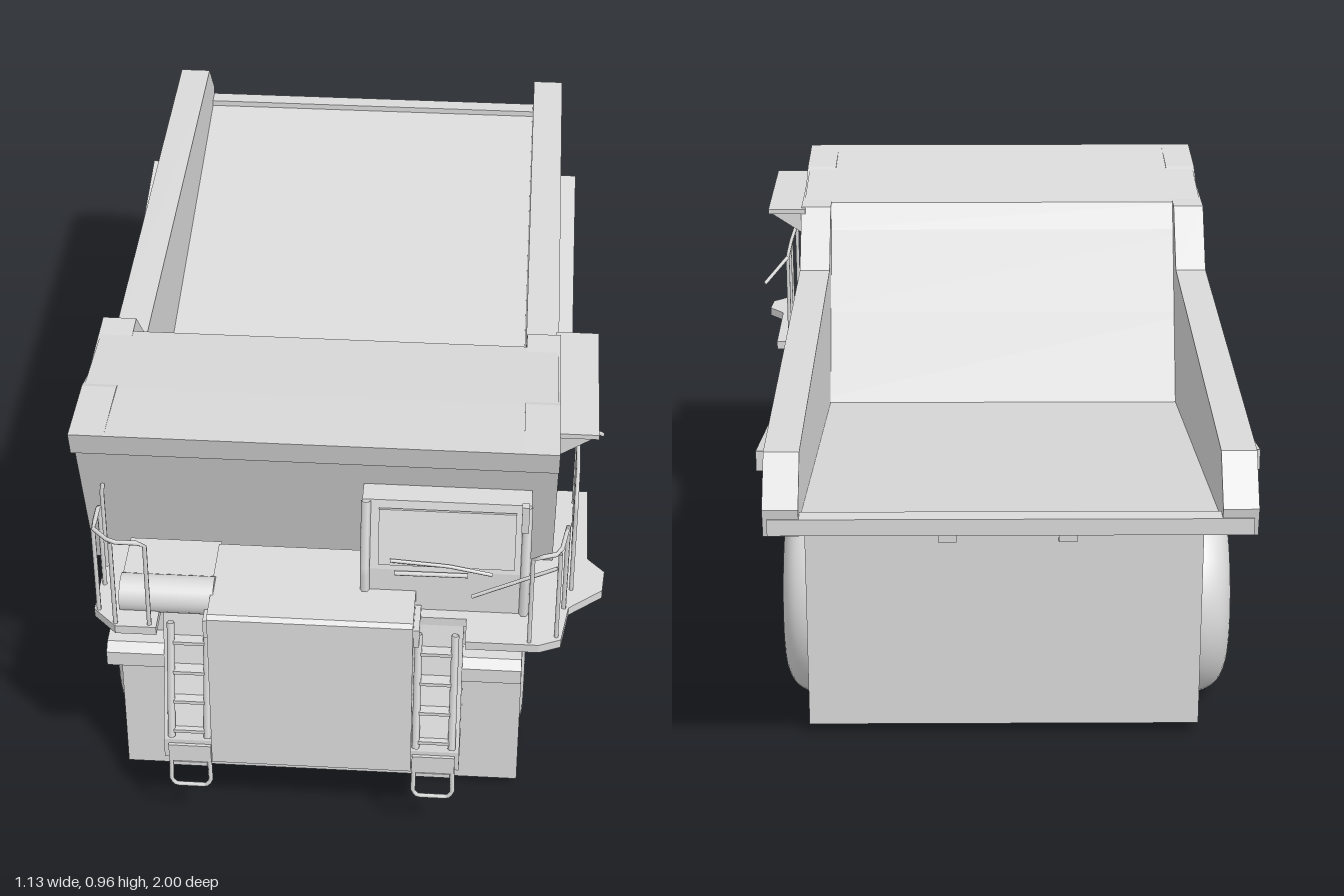
import * as THREE from 'three';

const CX = -0.037; // centre line of truck body

export function createModel() {
  const truck = new THREE.Group();
  truck.name = 'miningDumpTruck';
  const grey = new THREE.MeshStandardMaterial({ color: 0xdadada });
  grey.name = 'lightGrey';
  grey.side = THREE.DoubleSide;

  const add = (name, geo) => {
    const m = new THREE.Mesh(geo, grey);
    m.name = name;
    truck.add(m);
    return m;
  };
  // box given by its limits
  const box = (name, x0, x1, y0, y1, z0, z1) => {
    const g = new THREE.BoxGeometry(x1 - x0, y1 - y0, z1 - z0);
    g.translate((x0 + x1) / 2, (y0 + y1) / 2, (z0 + z1) / 2);
    return add(name, g);
  };
  const shapeOf = (pts) => new THREE.Shape(pts.map((p) => new THREE.Vector2(...p)));
  // side outline of [z, y] points carried between two x values
  const profile = (name, pts, xa, xb) => {
    const g = new THREE.ExtrudeGeometry(shapeOf(pts), { depth: Math.abs(xb - xa), bevelEnabled: false });
    g.rotateY(-Math.PI / 2);
    g.translate(Math.max(xa, xb), 0, 0);
    return add(name, g);
  };
  // thin bar through points, made of straight segments
  const bar = (name, pts, r = 0.005) => {
    const path = new THREE.CurvePath();
    const v = pts.map((p) => new THREE.Vector3(...p));
    for (let i = 1; i < v.length; i++) path.add(new THREE.LineCurve3(v[i - 1], v[i]));
    return add(name, new THREE.TubeGeometry(path, (v.length - 1) * 6, r, 6));
  };

  // axle blocks and chassis
  box('frontAxleBlock', -0.46, 0.40, 0.03, 0.5, 0.33, 0.82);
  box('rearAxleBlock', -0.46, 0.40, 0.03, 0.49, -0.6, -0.11);
  box('chassis', -0.45, 0.39, 0.17, 0.47, -0.12, 0.34);
  box('bellyPlate', -0.16, 0.09, 0.16, 0.18, 0, 0.12);

  // wheels
  const wheel = (name, side, z, inner, w, dual) => {
    const pts = [[0.17, 0], [0.22, 0.02], [0.24, 0.05]];
    if (dual) pts.push([0.243, w * 0.3], [0.235, w * 0.42], [0.215, w * 0.46], [0.235, w * 0.5]);
    pts.push([0.244, w - 0.09], [0.238, w - 0.05], [0.218, w - 0.018], [0.18, w], [0.145, w - 0.003], [0.1, w - 0.03]);
    const smooth = new THREE.SplineCurve(pts.map((p) => new THREE.Vector2(...p))).getPoints(48);
    const hub = [[0.1, w - 0.03], [0.09, w - 0.012], [0.08, w - 0.012], [0.074, w - 0.04], [0.055, w - 0.035],
      [0.055, w - 0.015], [0.045, w - 0.01], [0.04, w - 0.02], [0, w - 0.02]];
    const parts = { Tyre: [new THREE.Vector2(0, 0), ...smooth], Hub: hub.map((p) => new THREE.Vector2(...p)) };
    for (const [part, points] of Object.entries(parts)) {
      const g = new THREE.LatheGeometry(points, 48);
      g.rotateZ(-side * Math.PI / 2);
      add(name + part, g).position.set(CX + side * inner, 0.249, z);
    }
  };
  for (const s of [-1, 1]) {
    wheel('rearWheel', s, -0.345, 0.198, 0.295, true);
    wheel('frontWheel', s, 0.575, 0.198, 0.245, false);
  }

  // dump body: floor, front wall and canopy in one section
  profile('dumpBodyFloorAndCanopy', [
    [0.86, 0.965], [0.845, 0.908], [0.81, 0.905], [0.68, 0.5], [0.36, 0.5], [0.21, 0.455], [-0.985, 0.65],
    [-0.985, 0.68], [0.19, 0.495], [0.30, 0.69], [0.40, 0.87], [0.44, 0.928], [0.68, 0.952],
  ], -0.525, 0.45);
  const wallOutline = [
    [0.86, 0.965], [0.845, 0.908], [0.81, 0.905], [0.68, 0.5], [0.36, 0.5], [0.21, 0.455], [-0.99, 0.65],
    [-1, 0.71], [-0.92, 0.803], [0.28, 0.803], [0.395, 0.93], [0.60, 0.93], [0.68, 0.955],
  ];
  for (const s of [-1, 1]) {
    const outer = CX + s * 0.492;
    profile('dumpBodySideWall', wallOutline, outer, outer - s * 0.072);
    // sloping guard rail over the rear wheels
    profile('sideGuard', [[-0.03, 0.57], [-0.045, 0.52], [-0.64, 0.65], [-0.64, 0.695]], outer - s * 0.002, outer + s * 0.04);
    // lower edge pads
    for (const z of [0.1, -0.02, -0.13, -0.27, -0.4, -0.53]) {
      const pad = box('lowerEdgePad', -0.02, 0.02, -0.012, 0.012, -0.026, 0.026);
      pad.position.set(outer - s * 0.03, 0.451 + (0.21 - z) * 0.1625, z);
      pad.rotation.x = 0.16;
    }
    // rock deflector behind the front wheel
    profile('rockDeflector', [[0.36, 0.505], [0.275, 0.345], [0.29, 0.42], [0.325, 0.505]], CX + s * 0.38, CX + s * 0.432);
    // body hinge arms
    const hx = CX + s * 0.13;
    for (const z of [-0.47, -0.59]) box('hingeLug', hx - 0.02, hx + 0.02, 0.47, 0.59, z - 0.018, z + 0.018);
    profile('bodyRail', [[0.2, 0.45], [0.2, 0.47], [-0.85, 0.64], [-0.85, 0.615]], hx - 0.015, hx + 0.015);
    const px = CX + s * 0.427;
    box('chassisPad', px - 0.008, px + 0.008, 0.23, 0.272, 0.04, 0.13);
    box('chassisPadRear', px - 0.006, px + 0.006, 0.23, 0.272, -0.035, 0.02);
  }
  profile('tailLip', [[-0.96, 0.64], [-1, 0.655], [-1, 0.69], [-0.96, 0.69]], -0.52, 0.446);
  for (const z of [-0.65, -0.75, -0.85]) {
    const y = 0.455 + (0.21 - z) * 0.1625;
    box('underBodyRib', CX - 0.3, CX + 0.3, y - 0.008, y + 0.01, z - 0.008, z + 0.008);
  }

  // canopy side shelf with end gussets
  box('canopyShelf', 0.445, 0.535, 0.917, 0.928, 0.38, 0.74);
  const gusset = new THREE.ExtrudeGeometry(shapeOf([[0.45, 0.865], [0.53, 0.918], [0.45, 0.918]]), { depth: 0.008, bevelEnabled: false });
  for (const z of [0.385, 0.725]) add('canopyShelfGusset', gusset).position.z = z;

  // nose, hood and fenders
  profile('noseBase', [[0.8, 0.21], [0.985, 0.21], [0.985, 0.26], [0.93, 0.4], [0.9, 0.54], [0.7, 0.54]], -0.35, 0.275);
  profile('hood', [[0.75, 0.21], [0.995, 0.21], [0.985, 0.6], [0.975, 0.607], [0.75, 0.607]], -0.248, 0.174);
  for (const s of [-1, 1]) {
    const f0 = CX + s * 0.31, f1 = CX + s * 0.435;
    profile('fenderTop', [[0.78, 0.41], [0.92, 0.405], [0.92, 0.44], [0.9, 0.455], [0.78, 0.455]], f0, f1);
    profile('fenderBack', [[0.68, 0.45], [0.86, 0.45], [0.86, 0.545], [0.68, 0.545]], f0, f1);
    const kx = CX + s * 0.213;
    box('hoodSideClamp', kx - 0.01, kx + 0.01, 0.53, 0.575, 0.88, 0.96);
  }

  // deck plate, notched around the ladders
  const deck = new THREE.ExtrudeGeometry(shapeOf([
    [-0.49, -0.46], [-0.49, -0.92], [-0.44, -0.97], [-0.355, -0.97], [-0.355, -0.9], [0.28, -0.9], [0.28, -0.97],
    [0.43, -0.97], [0.475, -0.95], [0.49, -0.85], [0.56, -0.79], [0.565, -0.73], [0.53, -0.69], [0.53, -0.46],
  ]), { depth: 0.02, bevelEnabled: false });
  deck.rotateX(-Math.PI / 2);
  add('deck', deck).position.y = 0.54;

  // cab with window plates and wipers
  profile('cab', [[0.7, 0.555], [0.875, 0.555], [0.87, 0.66], [0.83, 0.81], [0.72, 0.81]], 0.06, 0.405);
  profile('windscreen', [[0.87, 0.675], [0.875, 0.675], [0.843, 0.795], [0.838, 0.795]], 0.095, 0.375);
  for (const x of [0.068, 0.397]) bar('cabPillar', [[x, 0.56, 0.875], [x, 0.665, 0.872], [x, 0.808, 0.832]], 0.01);
  bar('wiper', [[0.12, 0.69, 0.878], [0.24, 0.683, 0.88], [0.33, 0.665, 0.88]], 0.004);
  bar('wiperArm', [[0.13, 0.657, 0.878], [0.28, 0.66, 0.88]], 0.005);
  box('mirror', 0.385, 0.4, 0.775, 0.84, 0.86, 0.875);

  // air cleaner
  const canister = new THREE.CylinderGeometry(0.04, 0.04, 0.195, 24);
  canister.rotateZ(Math.PI / 2);
  add('airCleaner', canister).position.set(-0.34, 0.58, 0.885);
  box('airCleanerBase', -0.437, -0.243, 0.555, 0.605, 0.74, 0.885);

  // ladders with folding bottom steps
  for (const s of [-1, 1]) {
    const c = CX + s * 0.258;
    const zAt = (y) => 0.99 - (y - 0.25) * 0.26;
    for (const e of [-0.038, 0.038]) {
      bar('ladderRail', [[c + e, 0.27, zAt(0.27)], [c + e, 0.53, zAt(0.53)]], 0.008);
    }
    for (let i = 0; i < 4; i++) {
      const y = 0.285 + i * 0.067;
      box('ladderRung', c - 0.038, c + 0.038, y - 0.004, y + 0.004, zAt(y) - 0.025, zAt(y) + 0.005);
    }
    box('stepHolder', c - 0.045, c + 0.045, 0.205, 0.25, 0.96, 0.992);
    bar('bottomStep', [[c - 0.04, 0.23, 0.985], [c - 0.042, 0.15, 0.992], [c - 0.032, 0.138, 0.992],
      [c + 0.032, 0.138, 0.992], [c + 0.042, 0.15, 0.992], [c + 0.04, 0.23, 0.985]], 0.005);
    box('stepTread', c - 0.036, c + 0.036, 0.195, 0.205, 0.96, 0.994);
  }

  // handrails: top height and corner points in x, z
  const rail = (top, pts) => {
    const n = pts.length - 1;
    bar('handrail', [[pts[0][0], 0.55, pts[0][1]], ...pts.map(([x, z]) => [x, top, z]), [pts[n][0], 0.55, pts[n][1]]]);
    for (const [x, z] of pts.slice(1, n)) bar('handrailPost', [[x, 0.55, z], [x, top, z]]);
  };
  rail(0.775, [[-0.37, 0.96], [-0.44, 0.96], [-0.48, 0.92], [-0.48, 0.84]]);
  rail(0.77, [[-0.484, 0.78], [-0.484, 0.64], [-0.484, 0.5]]);
  rail(0.78, [[0.41, 0.96], [0.465, 0.94], [0.48, 0.85]]);
  rail(0.77, [[0.495, 0.79], [0.5, 0.64], [0.5, 0.58], [0.5, 0.5]]);
  bar('rearRailBend', [[0.5, 0.77, 0.5], [0.555, 0.715, 0.455]]);
  bar('slopedGrabRail', [[0.29, 0.665, 0.95], [0.46, 0.75, 0.95]], 0.004);

  return truck;
}
